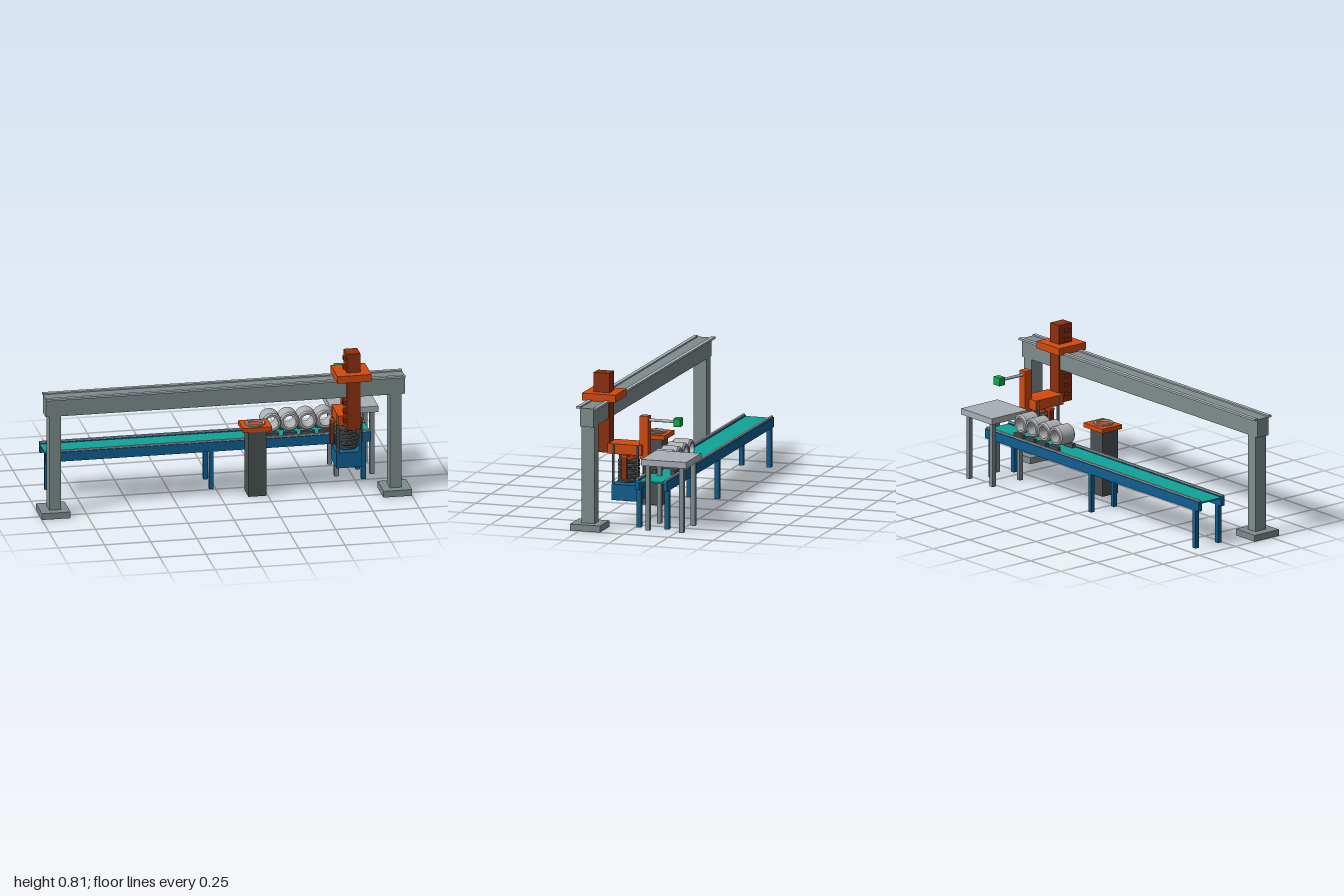
import * as THREE from 'three';

const mat = (name, color, side = THREE.FrontSide) => {
  const m = new THREE.MeshStandardMaterial({ color, side });
  m.name = name;
  return m;
};

export function createModel() {
  const root = new THREE.Group();
  root.name = 'gantryRobotCell';

  const steel = mat('steelGrey', 0x7f8c8d);
  const silver = mat('lightGrey', 0xa9afb6);
  const metal = mat('machinedMetal', 0xaeb0b2);
  const dark = mat('darkGrey', 0x4a5052);
  const blue = mat('blue', 0x0e5f92);
  const teal = mat('tealBelt', 0x10a39a);
  const green = mat('green', 0x10a84a);
  const orange = mat('orange', 0xd24b0f);
  const rust = mat('darkOrange', 0x8c300e);

  const group = (name) => {
    const g = new THREE.Group();
    g.name = name;
    root.add(g);
    return g;
  };
  const add = (parent, name, geo, material, x = 0, y = 0, z = 0) => {
    const m = new THREE.Mesh(geo, material);
    m.name = name;
    m.position.set(x, y, z);
    parent.add(m);
    return m;
  };
  // Box given by its limits on each axis
  const box = (parent, name, material, x0, x1, y0, y1, z0, z1) =>
    add(parent, name, new THREE.BoxGeometry(x1 - x0, y1 - y0, z1 - z0), material,
      (x0 + x1) / 2, (y0 + y1) / 2, (z0 + z1) / 2);
  // Closed ring of rectangular section with chamfered outer edges, axis y
  const ring = (inner, outer, height, chamfer, segments = 32) => {
    const h = height / 2, c = chamfer;
    const pts = [[inner, -h], [outer - c, -h], [outer, -h + c], [outer, h - c],
      [outer - c, h], [inner, h], [inner, -h]];
    // Separate each band so that edges stay sharp
    const profile = [];
    pts.forEach((p, i) => {
      profile.push(new THREE.Vector2(...p));
      if (i > 0 && i < pts.length - 1) profile.push(new THREE.Vector2(...p));
    });
    const geo = new THREE.LatheGeometry(profile, segments).toNonIndexed();
    geo.computeVertexNormals();
    return geo;
  };

  // Gantry frame
  const gantry = group('gantry');
  box(gantry, 'beam', steel, -0.97, 0.97, 0.56, 0.66, 0.18, 0.255);
  box(gantry, 'frontRail', silver, -0.97, 0.97, 0.656, 0.667, 0.255, 0.277);
  box(gantry, 'backRail', silver, -0.97, 0.97, 0.656, 0.667, 0.157, 0.18);
  for (const s of [-1, 1]) {
    add(gantry, 'column', new THREE.BoxGeometry(0.062, 0.525, 0.075), steel, s * 0.92, 0.2975, 0.2175);
    add(gantry, 'foot', new THREE.BoxGeometry(0.155, 0.035, 0.168), steel, s * 0.9225, 0.0175, 0.218);
  }

  // Travelling carriage and vertical mast
  const robot = group('carriage');
  box(robot, 'carriagePlate', orange, 0.595, 0.78, 0.66, 0.7, 0.123, 0.31);
  box(robot, 'mast', rust, 0.655, 0.728, 0.375, 0.805, 0.173, 0.262);
  for (let i = 0; i < 8; i++) {
    const y = 0.42 + i * 0.05;
    box(robot, 'rackTooth', rust, 0.643, 0.656, y - 0.01, y + 0.01, 0.2, 0.235);
  }

  // Gripper head
  const gripper = group('gripper');
  box(gripper, 'gripperBody', orange, 0.625, 0.75, 0.375, 0.43, -0.013, 0.178);
  add(gripper, 'gripperHub', new THREE.CylinderGeometry(0.038, 0.038, 0.03, 24), orange, 0.69, 0.36, 0.077);
  for (const s of [-1, 1]) {
    const x = 0.687 + s * 0.078;
    box(gripper, 'finger', rust, x - 0.009, x + 0.009, 0.247, 0.367, 0.063, 0.09);
    const a = 0.687 + s * 0.035, b = 0.687 + s * 0.087;
    box(gripper, 'fingerArm', orange, Math.min(a, b), Math.max(a, b), 0.365, 0.378, 0.06, 0.093);
  }

  // Sensor arm
  const sensor = group('sensorArm');
  box(sensor, 'sensorUpright', orange, 0.68, 0.725, 0.352, 0.585, -0.042, 0.005);
  const rod = add(sensor, 'sensorRod', new THREE.CylinderGeometry(0.008, 0.008, 0.15, 16), silver, 0.7025, 0.563, -0.115);
  rod.rotation.x = Math.PI / 2;
  box(sensor, 'sensorHead', green, 0.678, 0.727, 0.54, 0.584, -0.222, -0.184);

  // Part magazine with guide rods and stacked discs
  const magazine = group('magazine');
  box(magazine, 'magazineBase', blue, 0.622, 0.758, 0.127, 0.213, 0.0, 0.152);
  for (const x of [0.631, 0.75])
    for (const z of [0.0095, 0.1445])
      add(magazine, 'guideRod', new THREE.CylinderGeometry(0.0075, 0.0075, 0.214, 12), dark, x, 0.32, z);
  for (let i = 0; i < 6; i++)
    add(magazine, 'disc', ring(0.025, 0.059, 0.013, 0.002), dark, 0.69, 0.229 + i * 0.0205, 0.077);

  // Pedestal with locating ring
  const pedestal = group('pedestal');
  box(pedestal, 'pedestalPost', dark, 0.145, 0.243, 0, 0.362, 0.045, 0.153);
  box(pedestal, 'pedestalPlate', orange, 0.115, 0.273, 0.362, 0.386, 0.019, 0.155);
  add(pedestal, 'locatingRing', ring(0.04, 0.053, 0.01, 0.002), silver, 0.193, 0.391, 0.092);

  // Conveyor
  const conveyor = group('conveyor');
  box(conveyor, 'belt', teal, -0.92, 0.837, 0.251, 0.259, -0.165, -0.028);
  for (const z of [-0.0185, -0.175]) {
    box(conveyor, 'sideFrame', blue, -0.92, 0.837, 0.21, 0.263, z - 0.012, z + 0.012);
    box(conveyor, 'guideRail', silver, -0.92, 0.837, 0.263, 0.271, z - 0.006, z + 0.006);
    for (const x of [-0.882, -0.024, 0.798])
      box(conveyor, 'conveyorLeg', blue, x - 0.012, x + 0.012, 0, 0.21, z - 0.012, z + 0.012);
  }

  // Hollow workpieces on cradles
  const pieces = group('workpieces');
  for (let i = 0; i < 4; i++) {
    const x = 0.311 + i * 0.0965;
    const body = add(pieces, 'workpiece', ring(0.034, 0.053, 0.102, 0.008, 40), metal, x, 0.334, -0.096);
    body.rotation.x = Math.PI / 2;
    for (const z of [-0.045, -0.148])
      box(pieces, 'cradle', dark, x - 0.036, x + 0.036, 0.259, 0.281, z - 0.011, z + 0.011);
  }

  // Output table
  const table = group('outputTable');
  box(table, 'tableTop', silver, 0.636, 0.888, 0.353, 0.387, -0.31, -0.057);
  for (const x of [0.667, 0.858])
    for (const z of [-0.088, -0.277])
      box(table, 'tableLeg', steel, x - 0.012, x + 0.012, 0, 0.353, z - 0.012, z + 0.012);

  return root;
}
